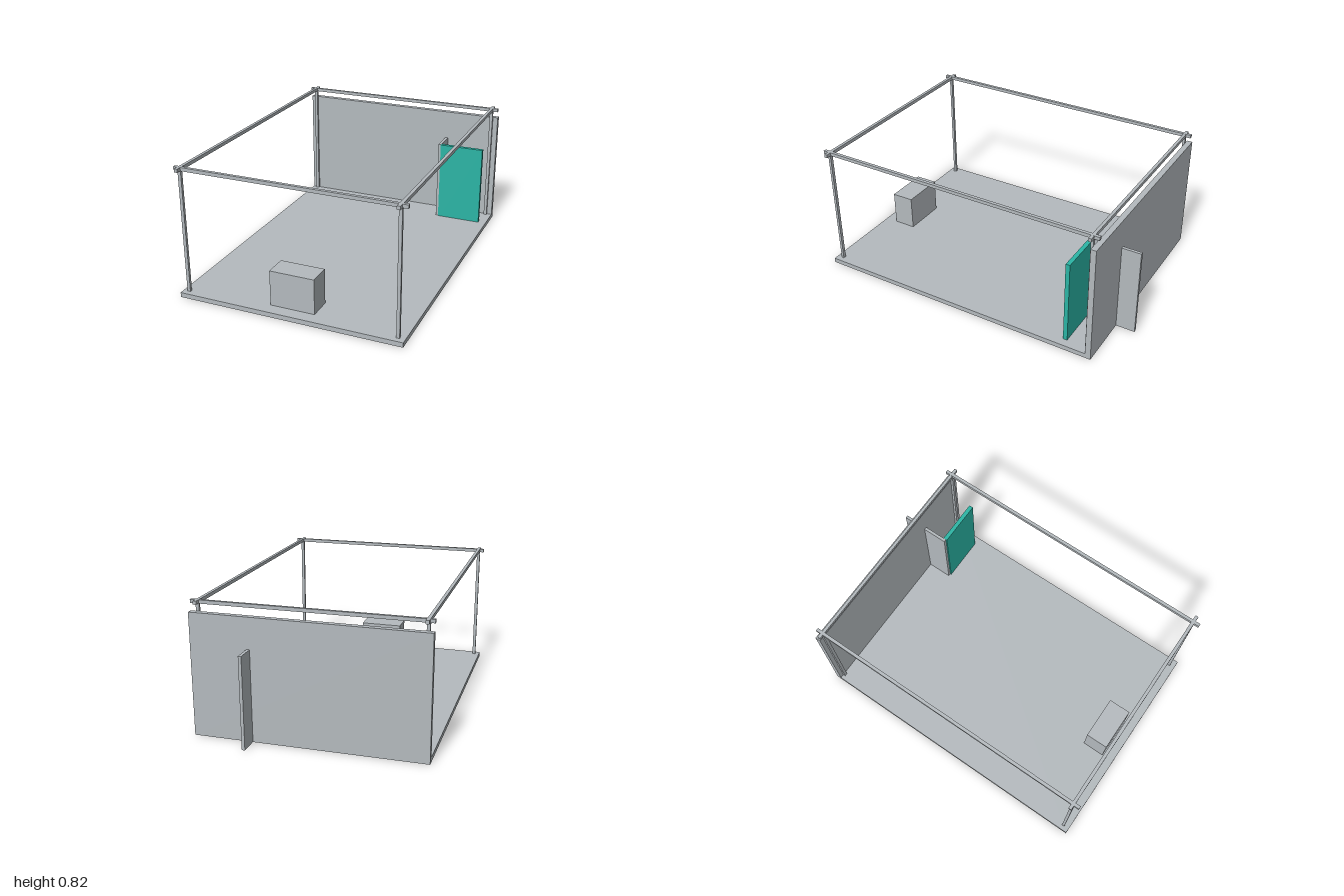
import * as THREE from 'three';

export function createModel() {
  const model = new THREE.Group();
  model.name = 'openRoom';

  const grey = new THREE.MeshStandardMaterial({ color: 0xb4babe });
  grey.name = 'light grey';
  const teal = new THREE.MeshStandardMaterial({ color: 0x2bb5a5 });
  teal.name = 'teal';

  // Box given by its lower and upper limits on each axis
  const box = (name, [x0, x1], [y0, y1], [z0, z1], material = grey) => {
    const mesh = new THREE.Mesh(new THREE.BoxGeometry(x1 - x0, y1 - y0, z1 - z0), material);
    mesh.position.set((x0 + x1) / 2, (y0 + y1) / 2, (z0 + z1) / 2);
    mesh.name = name;
    model.add(mesh);
  };

  const width = [-0.705, 0.705];
  const depth = [-0.88, 1];

  // Floor slab and back wall
  box('floor', width, [0, 0.03], [-0.845, 1]);
  box('backWall', width, [0, 0.755], [-0.88, -0.845]);

  // Posts and the crossing roof rails above them
  const postX = [[-0.678, -0.658], [0.652, 0.672]];
  const postZ = [[-0.845, -0.829], [0.95, 0.967]];
  const railY = [0.801, 0.822];
  for (const x of postX) for (const z of postZ) box('post', x, [0.03, 0.81], z);
  for (const x of postX) box('sideRail', x, railY, depth);
  // Cross rails sit a hair lower so the joints stay clean
  for (const [z0, z1] of postZ) box('crossRail', width, [0.8, 0.8215], [z0 - 0.003, z1]);

  // Corner partition running through the back wall, and the teal door
  box('partition', [0.338, 0.357], [0.001, 0.565], [-1, -0.685]);
  box('door', [0.357, 0.653], [0.001, 0.565], [-0.704, -0.677], teal);

  // Counter near the front
  box('counter', [-0.142, 0.14], [0.03, 0.252], [0.775, 0.92]);

  return model;
}
